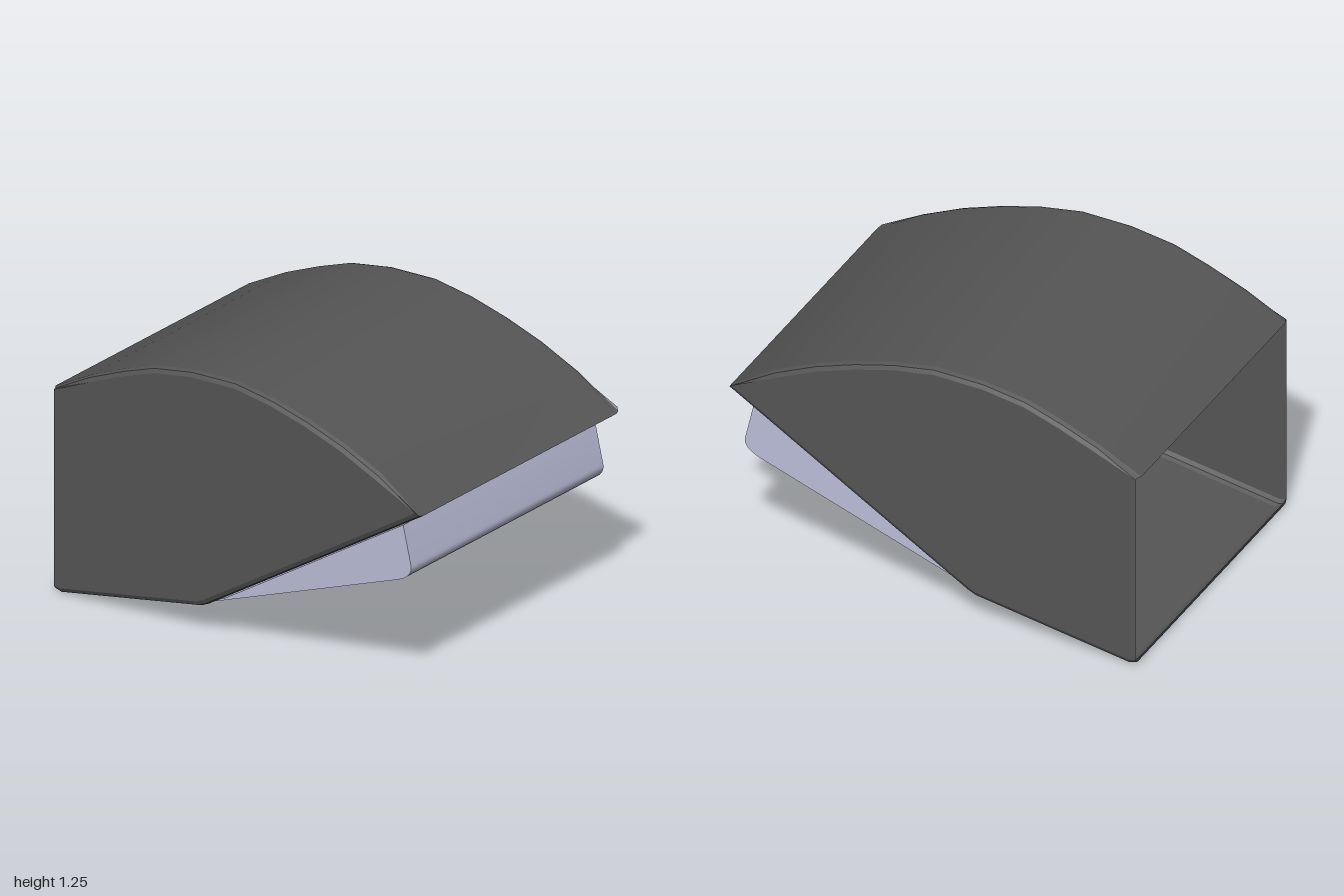
import * as THREE from 'three';
import { toCreasedNormals } from 'three/addons/utils/BufferGeometryUtils.js';

// Side outline as [z, y]; first point is the upper back edge, last the lower back edge.
const OUTLINE = [
  [-1, 0.965], [-0.8, 1.07], [-0.62, 1.145], [-0.45, 1.205], [-0.24, 1.24], [0, 1.247],
  [0.2, 1.215], [0.39, 1.165], [0.58, 1.1], [0.78, 1.01], [1, 0.868],
  [-0.16, 0.152], [-0.2, 0.133], [-0.95, 0], [-0.985, 0.012], [-0.99, 0.035],
];
const BACK = -0.987;

// Moves the outline inwards by d, keeping the back opening in place.
function inset(d) {
  const n = OUTLINE.length;
  return OUTLINE.map(([z, y], i) => {
    const a = OUTLINE[(i + n - 1) % n], b = OUTLINE[(i + 1) % n];
    const tz = b[0] - a[0], ty = b[1] - a[1], len = Math.hypot(tz, ty);
    const pz = z + (ty / len) * d, py = y - (tz / len) * d;
    return [z < -0.97 && d > 0 ? BACK : pz, py];
  });
}

// Wraps the outline across the width, with rounded side edges and an open back.
function shellGeometry(sections) {
  const pos = [], index = [], n = OUTLINE.length;
  sections.forEach(([x, d]) => inset(d).forEach(([z, y]) => pos.push(x, y, z)));
  for (let s = 0; s < sections.length - 1; s++) {
    for (let i = 0; i < n - 1; i++) {
      const a = s * n + i, b = a + 1, c = a + n, e = c + 1;
      index.push(a, b, c, b, e, c);
    }
  }
  const g = new THREE.BufferGeometry();
  g.setAttribute('position', new THREE.Float32BufferAttribute(pos, 3));
  g.setIndex(index);
  return toCreasedNormals(g, 0.3);
}

const toShape = (pts) => new THREE.Shape(pts.map(([z, y]) => new THREE.Vector2(z, y)));

export function createModel() {
  const group = new THREE.Group();
  const dark = new THREE.MeshStandardMaterial({ color: 0x555555, side: THREE.DoubleSide });
  const pale = new THREE.MeshStandardMaterial({ color: 0xbcbfda });

  const add = (name, geometry, material) => {
    const mesh = new THREE.Mesh(geometry, material);
    mesh.name = name;
    group.add(mesh);
    return mesh;
  };

  // Curved top, slanted front and floor
  const half = [[0.7, 0], [0.72, 0.007], [0.73, 0.026]];
  const sections = [...half.map(([x, d]) => [-x, d]).reverse(), ...half];
  add('housingShell', shellGeometry(sections), dark);

  // Flat side walls
  for (const side of [-1, 1]) {
    const wall = new THREE.ShapeGeometry(toShape(inset(0.026)));
    wall.rotateY(-Math.PI / 2);
    add(side > 0 ? 'leftWall' : 'rightWall', wall, dark).position.x = side * 0.73;
  }

  // Pale wedge under the slanted front, its lower lip just reaching the inside
  const wedge = new THREE.Shape();
  wedge.moveTo(-0.13, 0.168);
  wedge.lineTo(0.855, 0.527);
  wedge.quadraticCurveTo(0.945, 0.56, 0.932, 0.615);
  wedge.lineTo(0.89, 0.796);
  wedge.lineTo(-0.09, 0.19);
  wedge.lineTo(-0.13, 0.185);
  const lens = new THREE.ExtrudeGeometry(wedge, { depth: 1.39, bevelEnabled: false, curveSegments: 8 });
  lens.rotateY(-Math.PI / 2);
  lens.translate(0.695, 0, 0);
  add('lens', toCreasedNormals(lens, 0.6), pale);

  return group;
}
